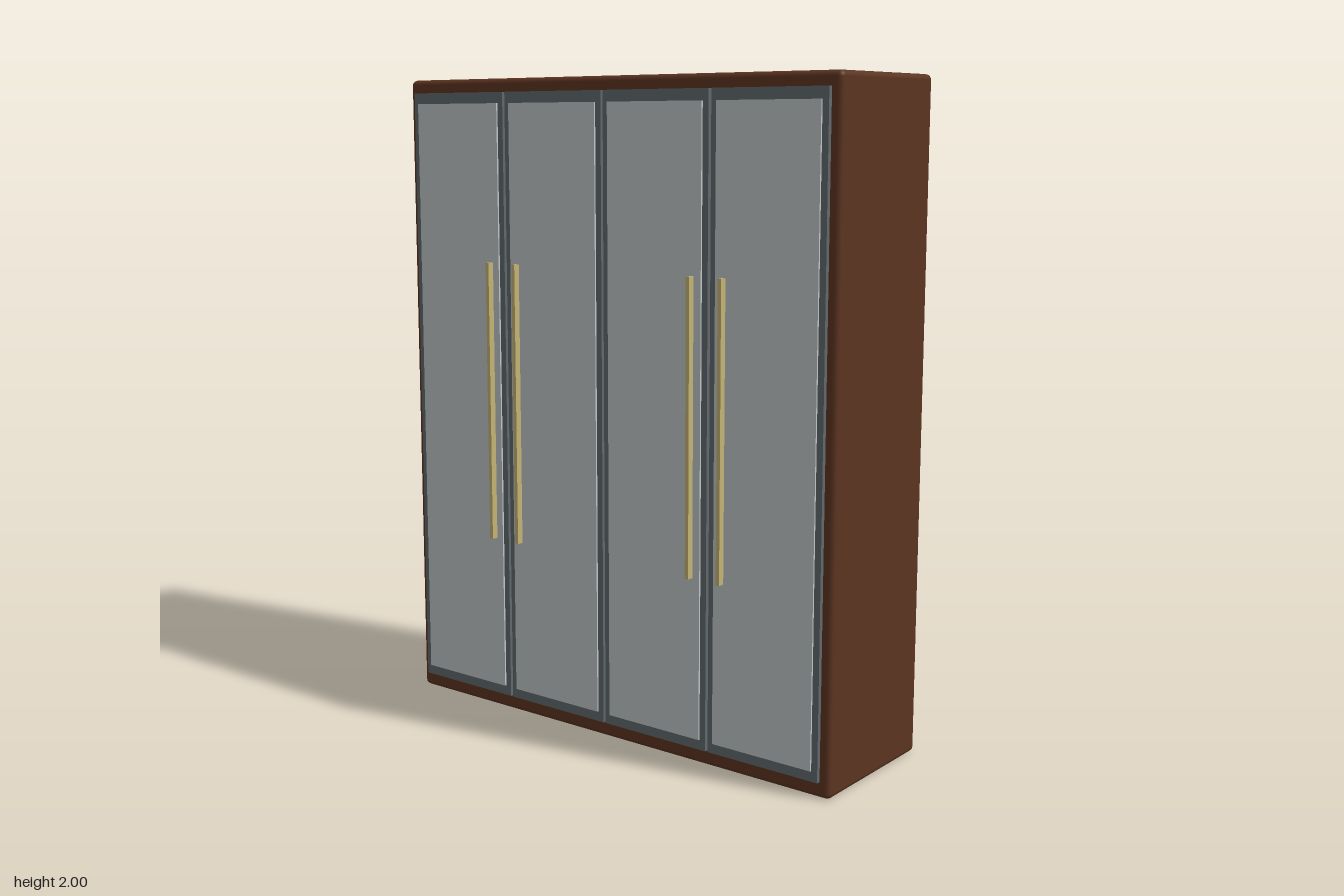
import * as THREE from 'three';
import { RoundedBoxGeometry } from 'three/addons/geometries/RoundedBoxGeometry.js';

const material = (name, color) => {
  const m = new THREE.MeshStandardMaterial({ color });
  m.name = name;
  return m;
};

export function createModel() {
  const wardrobe = new THREE.Group();
  wardrobe.name = 'wardrobe';

  const wood = material('brown wood', 0x5c3421);
  const steel = material('grey frame', 0x61686c);
  const glass = material('pale glass', 0xc1c6c8);
  const brass = material('brass', 0xc4b474);

  const add = (parent, name, geometry, mat, x, y, z) => {
    const mesh = new THREE.Mesh(geometry, mat);
    mesh.name = name;
    mesh.position.set(x, y, z);
    parent.add(mesh);
  };

  // Solid cabinet with softened edges
  const cabinet = new RoundedBoxGeometry(1.6, 2, 0.483, 2, 0.016);
  add(wardrobe, 'cabinet', cabinet, wood, 0, 1, -0.0195);

  // Four doors: grey frame, raised glass panel and a long bar handle
  const frame = new THREE.BoxGeometry(0.378, 1.91, 0.016);
  const panel = new THREE.BoxGeometry(0.338, 1.845, 0.008);
  const handle = new THREE.BoxGeometry(0.012, 0.874, 0.022);
  const doors = [[-0.581, -0.442], [-0.194, -0.334], [0.192, 0.33], [0.579, 0.44]];
  doors.forEach(([x, handleX], i) => {
    const door = new THREE.Group();
    door.name = `door${i + 1}`;
    add(door, 'doorFrame', frame, steel, x, 1.004, 0.227);
    add(door, 'glassPanel', panel, glass, x, 1.003, 0.2365);
    add(door, 'handle', handle, brass, handleX, 1.004, 0.25);
    wardrobe.add(door);
  });

  return wardrobe;
}
